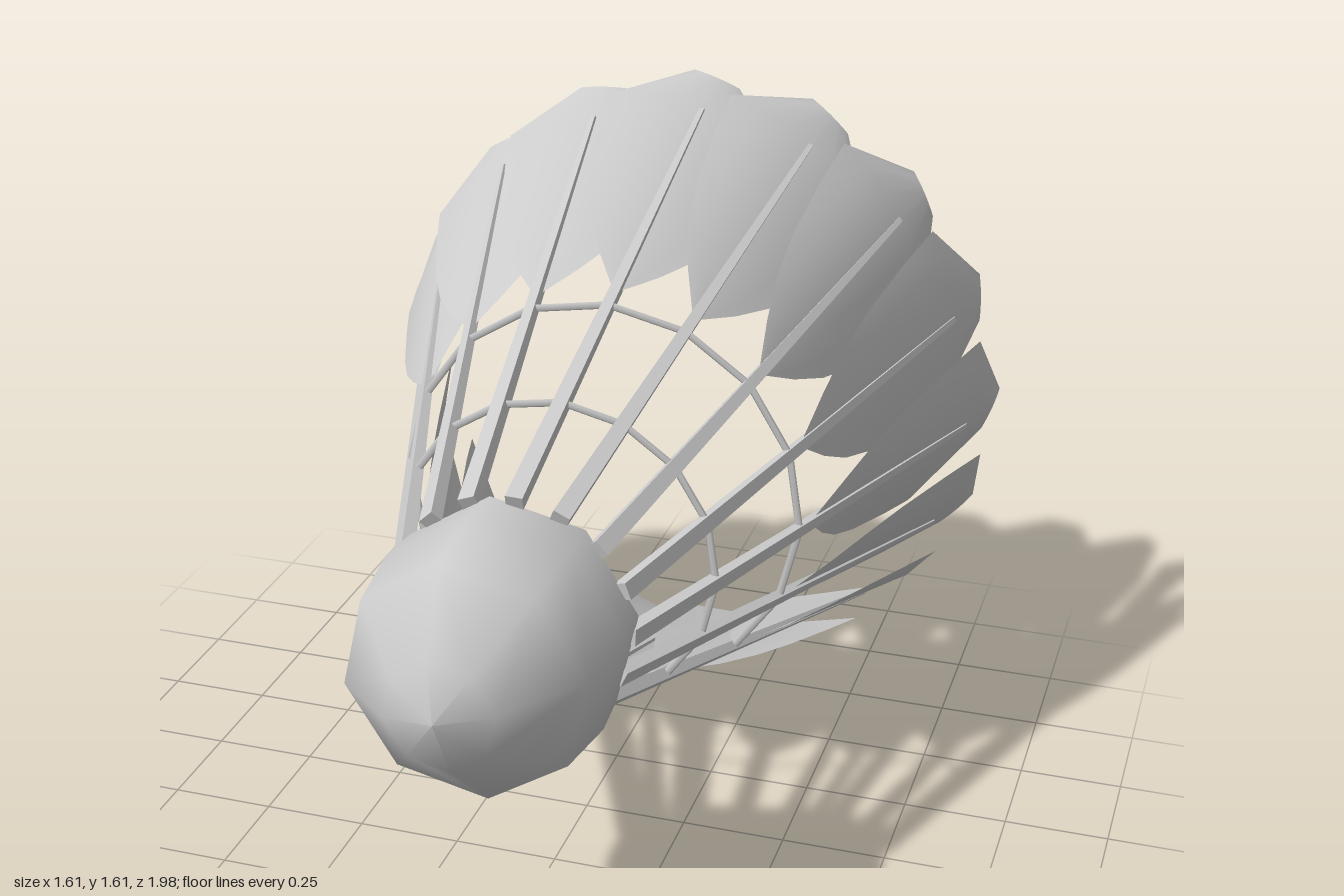
import * as THREE from 'three';

const COUNT = 16, CENTRE_Y = 0.785;
const coneRadius = z => 0.265 + (0.53 - z) * 0.345;

// One curved, tilted blade; rows run from the outer end to the pointed base
function featherGeometry() {
  const rows = [[-0.985, 0.06], [-0.85, 0.235], [-0.7, 0.213], [-0.5, 0.172], [-0.37, 0.13], [-0.26, 0.075], [-0.16, 0.008]];
  const cols = 6;
  const geo = new THREE.PlaneGeometry(2, 1, cols, rows.length - 1);
  const pos = geo.attributes.position;
  for (let i = 0; i < pos.count; i++) {
    const [z, halfWidth] = rows[Math.floor(i / (cols + 1))];
    const t = pos.getX(i) * halfWidth;
    pos.setXYZ(i, t, coneRadius(z) - 0.3 * t - t * t, z);
  }
  geo.computeVertexNormals();
  return geo;
}

// Tapered square shaft lying along the cone
function shaftGeometry() {
  const root = new THREE.Vector3(0, coneRadius(0.525), 0.525);
  const tip = new THREE.Vector3(0, coneRadius(-0.85), -0.85);
  const dir = tip.clone().sub(root);
  const geo = new THREE.CylinderGeometry(0.009, 0.028, dir.length(), 4);
  geo.rotateY(Math.PI / 4);
  geo.scale(1, 1, 0.8);
  geo.applyQuaternion(new THREE.Quaternion().setFromUnitVectors(new THREE.Vector3(0, 1, 0), dir.normalize()));
  const mid = root.add(tip).multiplyScalar(0.5);
  geo.translate(mid.x, mid.y, mid.z);
  return geo;
}

export function createModel() {
  const model = new THREE.Group();
  const smooth = new THREE.MeshStandardMaterial({ color: 0xcccccc });
  const flat = new THREE.MeshStandardMaterial({ color: 0xcccccc, flatShading: true });
  const thin = new THREE.MeshStandardMaterial({ color: 0xcccccc, side: THREE.DoubleSide });
  const add = (parent, name, geo, mat) => {
    const mesh = new THREE.Mesh(geo, mat);
    mesh.name = name;
    parent.add(mesh);
    return mesh;
  };

  // Rounded eight-sided cork nose with a flat back
  const cork = new THREE.Group();
  cork.name = 'cork';
  cork.position.y = 0.77;
  cork.rotation.z = THREE.MathUtils.degToRad(10);
  const profile = [[0.287, 0.512], [0.296, 0.63], [0.274, 0.815], [0.125, 0.962], [0, 0.998]]
    .map(([r, z]) => new THREE.Vector2(r, z));
  add(cork, 'corkBody', new THREE.LatheGeometry(profile, 8).rotateX(Math.PI / 2), smooth);
  add(cork, 'corkBack', new THREE.CircleGeometry(0.287, 8).rotateY(Math.PI).translate(0, 0, 0.512), flat);
  model.add(cork);

  // Skirt of shafts and overlapping feathers
  const skirt = new THREE.Group();
  skirt.name = 'skirt';
  skirt.position.y = CENTRE_Y;
  const feather = featherGeometry(), shaft = shaftGeometry();
  for (let i = 0; i < COUNT; i++) {
    const plume = new THREE.Group();
    plume.name = 'plume';
    plume.rotation.z = i * 2 * Math.PI / COUNT - THREE.MathUtils.degToRad(2);
    add(plume, 'shaft', shaft, flat);
    add(plume, 'feather', feather, thin);
    skirt.add(plume);
  }

  // Two thread rings tying the shafts together
  for (const z of [0.22, -0.105]) {
    const ring = add(skirt, 'threadRing', new THREE.TorusGeometry(coneRadius(z) + 0.002, 0.009, 6, COUNT), smooth);
    ring.scale.z = 0.4;
    ring.position.z = z;
    ring.rotation.z = -THREE.MathUtils.degToRad(2);
  }
  model.add(skirt);
  return model;
}
